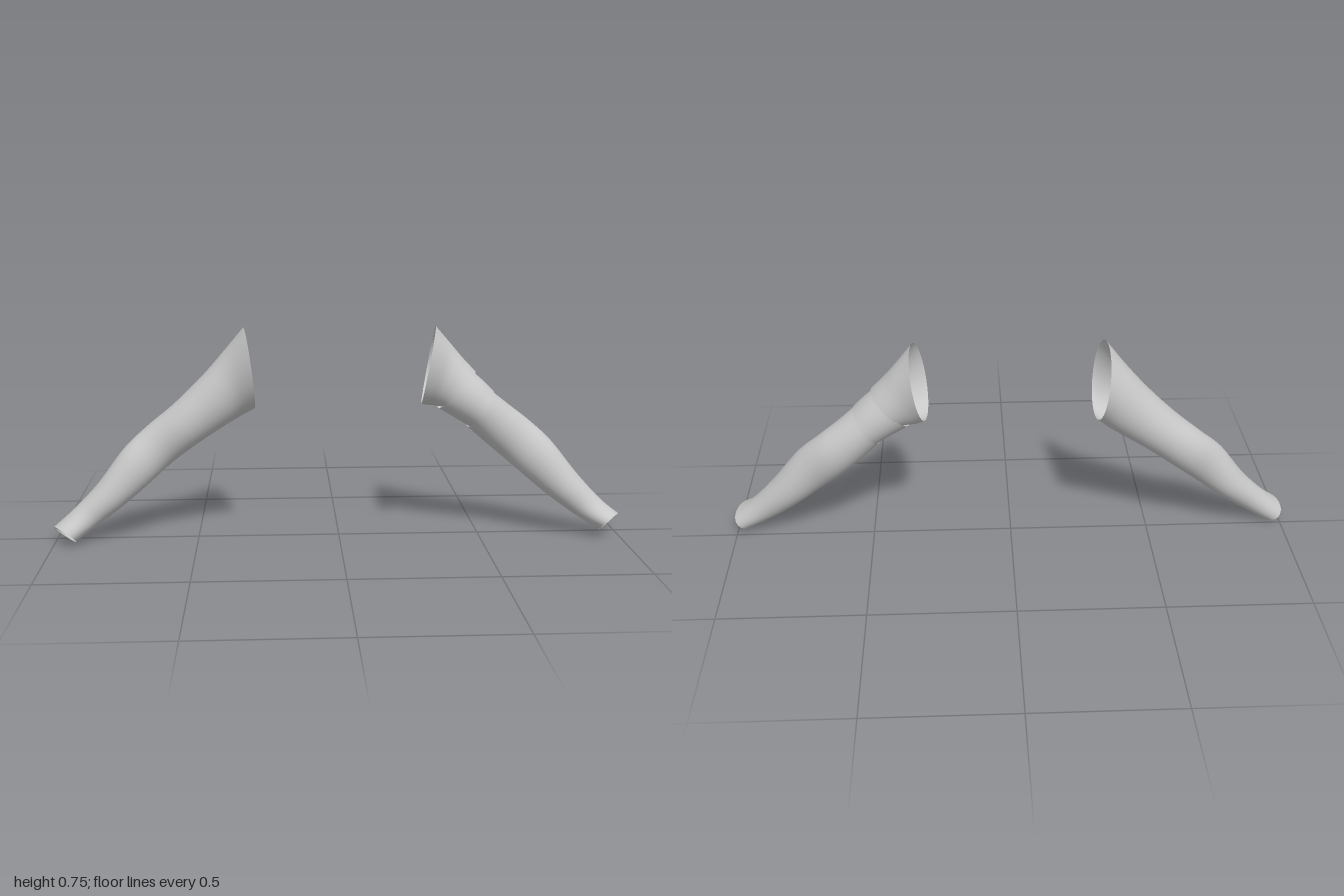
import * as THREE from 'three';

const SIDES = 40;

// Cross-section: upper x,y | lower x,y | back z, front z | x,y shift of the front edge
// x is measured outward from the body; side = 1 is the left arm, -1 the right arm
function sleeveGeometry(sections, side, steps = 6) {
  const positions = [], index = [];
  const last = sections.length - 1, rows = last * steps;
  const sample = (t, k) => {
    const i = Math.min(Math.floor(t), last - 1), f = t - i;
    const at = (n) => sections[THREE.MathUtils.clamp(n, 0, last)][k] ?? 0;
    const p0 = at(i - 1), p1 = at(i), p2 = at(i + 1), p3 = at(i + 2);
    const m1 = (p2 - p0) / 2, m2 = (p3 - p1) / 2;
    return p1 + m1 * f + (3 * (p2 - p1) - 2 * m1 - m2) * f * f + (2 * (p1 - p2) + m1 + m2) * f * f * f;
  };
  for (let r = 0; r <= rows; r++) {
    const [ux, uy, lx, ly, zb, zf, sx, sy] = Array.from({ length: 8 }, (_, k) => sample(r / steps, k));
    for (let j = 0; j < SIDES; j++) {
      const a = (side * j / SIDES) * Math.PI * 2, c = Math.cos(a), s = Math.sin(a);
      positions.push(
        side * ((ux + lx) / 2 + (ux - lx) / 2 * c + sx * s),
        (uy + ly) / 2 + (uy - ly) / 2 * c + sy * s,
        (zb + zf) / 2 + (zf - zb) / 2 * s
      );
    }
  }
  for (let r = 0; r < rows; r++) {
    for (let j = 0; j < SIDES; j++) {
      const k = (j + 1) % SIDES;
      const a = r * SIDES + j, b = r * SIDES + k, c = a + SIDES, d = b + SIDES;
      index.push(a, b, c, b, d, c);
    }
  }
  const g = new THREE.BufferGeometry();
  g.setAttribute('position', new THREE.Float32BufferAttribute(positions, 3));
  g.setIndex(index);
  g.computeVertexNormals();
  return g;
}

export function createModel() {
  const group = new THREE.Group();
  const cloth = new THREE.MeshStandardMaterial({ color: 0xc8c8c8, side: THREE.DoubleSide });
  cloth.name = 'light grey cloth';

  const add = (name, side, sections) => {
    const mesh = new THREE.Mesh(sleeveGeometry(sections, side), cloth);
    mesh.name = name;
    group.add(mesh);
  };

  // Right arm: one full sleeve from shoulder opening to cuff
  add('rightSleeve', -1, [
    [0.33, 0.748, 0.297, 0.465, -0.13, 0.122, -0.013, 0],
    [0.40, 0.665, 0.345, 0.435, -0.118, 0.075, -0.005, 0],
    [0.48, 0.575, 0.42, 0.388, -0.108, 0.063],
    [0.58, 0.478, 0.50, 0.335, -0.102, 0.06],
    [0.675, 0.40, 0.59, 0.268, -0.09, 0.05],
    [0.757, 0.324, 0.675, 0.195, -0.062, 0.07],
    [0.847, 0.206, 0.76, 0.125, -0.045, 0.085],
    [0.93, 0.12, 0.85, 0.06, -0.017, 0.092, -0.01, 0.008],
    [1.0, 0.06, 0.928, 0.004, -0.002, 0.124, -0.022, 0.016],
  ]);

  // Left arm: flared shoulder cap
  add('leftShoulderCap', 1, [
    [0.34, 0.748, 0.292, 0.475, -0.13, 0.122, -0.015, 0],
    [0.395, 0.685, 0.32, 0.468, -0.113, 0.08, -0.005, 0],
    [0.435, 0.638, 0.342, 0.466, -0.105, 0.074],
    [0.482, 0.588, 0.36, 0.464, -0.1, 0.08],
  ]);

  // Left arm: band tucked into the cap
  add('leftUpperArmBand', 1, [
    [0.465, 0.593, 0.352, 0.458, -0.098, 0.077],
    [0.51, 0.555, 0.41, 0.424, -0.097, 0.079],
    [0.548, 0.517, 0.462, 0.392, -0.095, 0.078],
  ]);

  // Left arm: long lower sleeve
  add('leftLowerSleeve', 1, [
    [0.546, 0.514, 0.457, 0.391, -0.093, 0.08],
    [0.61, 0.463, 0.525, 0.33, -0.092, 0.062],
    [0.676, 0.412, 0.596, 0.27, -0.086, 0.054],
    [0.757, 0.338, 0.675, 0.203, -0.063, 0.072],
    [0.85, 0.222, 0.76, 0.134, -0.045, 0.085],
    [0.935, 0.13, 0.85, 0.07, -0.017, 0.092, -0.01, 0.008],
    [0.998, 0.08, 0.933, 0.022, -0.002, 0.124, -0.022, 0.016],
  ]);

  return group;
}
